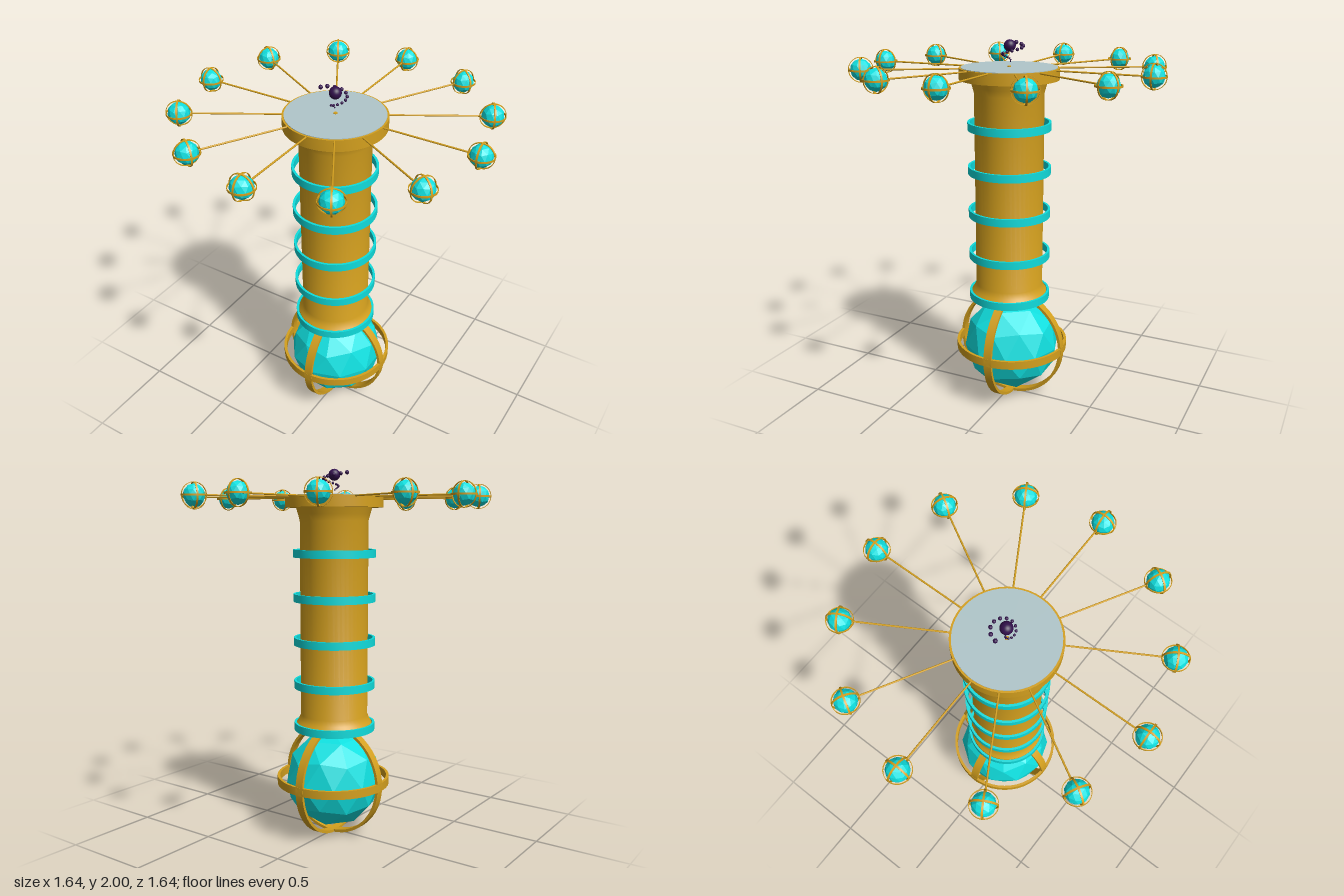
import * as THREE from 'three';
import { toCreasedNormals } from 'three/addons/utils/BufferGeometryUtils.js';

const gold = new THREE.MeshStandardMaterial({ color: 0xd4a01e });
const teal = new THREE.MeshStandardMaterial({ color: 0x10dcdc });
const crystal = new THREE.MeshStandardMaterial({ color: 0x10e0e0, flatShading: true });
const glass = new THREE.MeshStandardMaterial({ color: 0xb0c6ca });
const purple = new THREE.MeshStandardMaterial({ color: 0x32104c });

function add(parent, name, geometry, material, x = 0, y = 0, z = 0) {
  const mesh = new THREE.Mesh(geometry, material);
  mesh.name = name;
  mesh.position.set(x, y, z);
  parent.add(mesh);
  return mesh;
}

// Flat hoop with a rectangular section, lying level and centred on the origin
function hoop(outer, inner, height, segments = 32) {
  const shape = new THREE.Shape().absarc(0, 0, outer, 0, Math.PI * 2);
  shape.holes.push(new THREE.Path().absarc(0, 0, inner, 0, Math.PI * 2, true));
  const g = new THREE.ExtrudeGeometry(shape, { depth: height, bevelEnabled: false, curveSegments: segments });
  g.translate(0, 0, -height / 2).rotateX(Math.PI / 2);
  return toCreasedNormals(g, 0.6);
}

const bandGeometry = hoop(0.31, 0.295, 0.045, 24);
// Faceted ball with one corner pointing straight up
const ballGeometry = new THREE.IcosahedronGeometry(0.266, 1)
  .rotateX(-Math.atan((1 + Math.sqrt(5)) / 2))
  .rotateY(Math.PI / 2);

// Faceted ball inside three crossing hoops
function cagedBall(name) {
  const group = new THREE.Group();
  group.name = name;
  add(group, 'crystalBall', ballGeometry, crystal);
  add(group, 'levelHoop', bandGeometry, gold);
  add(group, 'frontHoop', bandGeometry, gold).rotation.x = Math.PI / 2;
  add(group, 'sideHoop', bandGeometry, gold).rotation.z = Math.PI / 2;
  return group;
}

export function createModel() {
  const model = new THREE.Group();
  model.name = 'crystalTower';

  // Large caged ball at the foot
  const base = cagedBall('baseBall');
  base.position.set(-0.003, 0.315, -0.014);
  model.add(base);

  // Column with flared ends and a wide top flange
  const profile = [
    [0, 0.6], [0.207, 0.6], [0.207, 0.635], [0.196, 0.65], [0.183, 0.68],
    [0.183, 1.73], [0.192, 1.765], [0.203, 1.8], [0.26, 1.8], [0.26, 1.86], [0, 1.86],
  ].map(([r, y]) => new THREE.Vector2(r, y));
  add(model, 'column', toCreasedNormals(new THREE.LatheGeometry(profile, 48), 0.6), gold);
  add(model, 'topPlate', new THREE.CylinderGeometry(0.25, 0.25, 0.008, 48), glass, 0, 1.859, 0);
  add(model, 'centrePin', new THREE.CylinderGeometry(0.01, 0.01, 0.008, 12), gold, 0, 1.863, 0);

  // Floating rings around the column
  const ringGeometry = hoop(0.221, 0.208, 0.042);
  for (let i = 0; i < 5; i++) {
    add(model, 'columnRing', ringGeometry, teal, -0.002, 0.615 + i * 0.236, 0);
  }

  // Twelve spokes, each ending in a small caged ball
  const wheel = new THREE.Group();
  wheel.name = 'spokeWheel';
  wheel.position.set(-0.002, 1.855, -0.003);
  wheel.rotation.y = 0.01;
  model.add(wheel);
  const spokeGeometry = new THREE.CylinderGeometry(0.0045, 0.0045, 0.46, 8).rotateZ(Math.PI / 2);
  for (let i = 0; i < 12; i++) {
    const arm = new THREE.Group();
    arm.name = 'arm';
    arm.rotation.y = (i * Math.PI) / 6;
    add(arm, 'spoke', spokeGeometry, gold, 0.47, 0, 0);
    const ball = cagedBall('smallBall');
    ball.position.x = 0.755;
    ball.scale.setScalar(0.207);
    arm.add(ball);
    wheel.add(arm);
  }

  // Dark orb with a spiral of shrinking beads winding down to the plate
  add(model, 'orb', new THREE.SphereGeometry(0.031, 24, 16), purple, -0.002, 1.969, -0.002);
  const beadGeometry = new THREE.SphereGeometry(1, 12, 8);
  for (let i = 0; i < 15; i++) {
    const a = Math.PI + i * 0.49;
    const r = 0.083 - i * 0.0054;
    const bead = add(model, 'bead', beadGeometry, purple,
      r * Math.cos(a), 1.979 - i * 0.0063, r * Math.sin(a));
    bead.scale.setScalar(0.011 - i * 0.0005);
  }
  return model;
}
